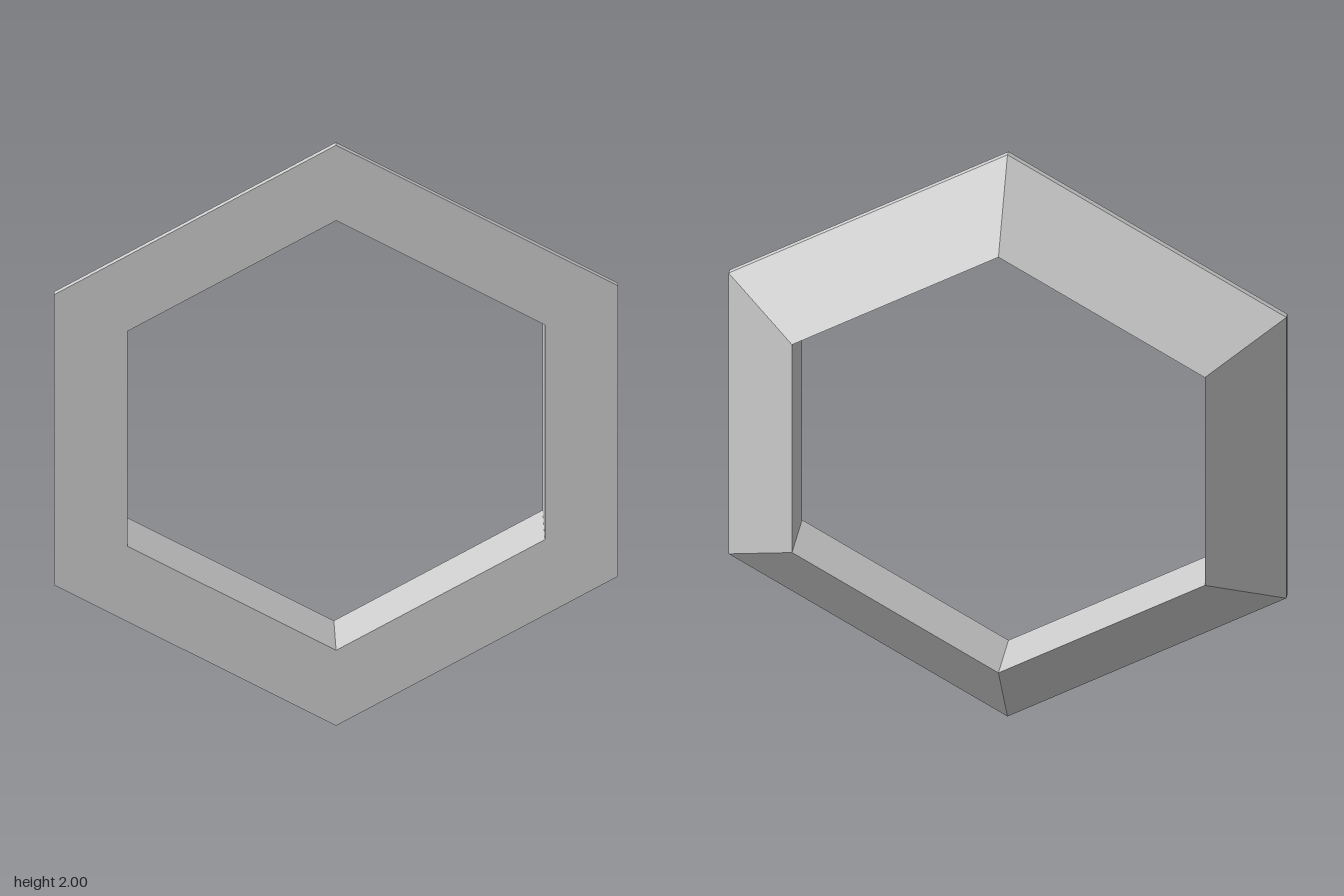
import * as THREE from 'three';

export function createModel() {
  const group = new THREE.Group();
  group.name = 'hexagonalFrame';

  // Ring cross-section (radius, depth): bevelled back, thin rim, flat front, straight inner wall
  const profile = [
    [0.74, -0.1], [1, 0.08], [1, 0.1], [0.74, 0.1], [0.74, 0.08], [0.74, -0.1],
  ].map(([r, d]) => new THREE.Vector2(r, d));

  // Six-sided sweep, turned so its axis runs along z with a corner at the top
  const geometry = new THREE.LatheGeometry(profile, 6);
  geometry.rotateX(Math.PI / 2);

  const frame = new THREE.Mesh(
    geometry,
    new THREE.MeshStandardMaterial({ color: 0xcccccc, flatShading: true })
  );
  frame.name = 'bevelledFrame';
  frame.position.y = 1;
  group.add(frame);
  return group;
}
